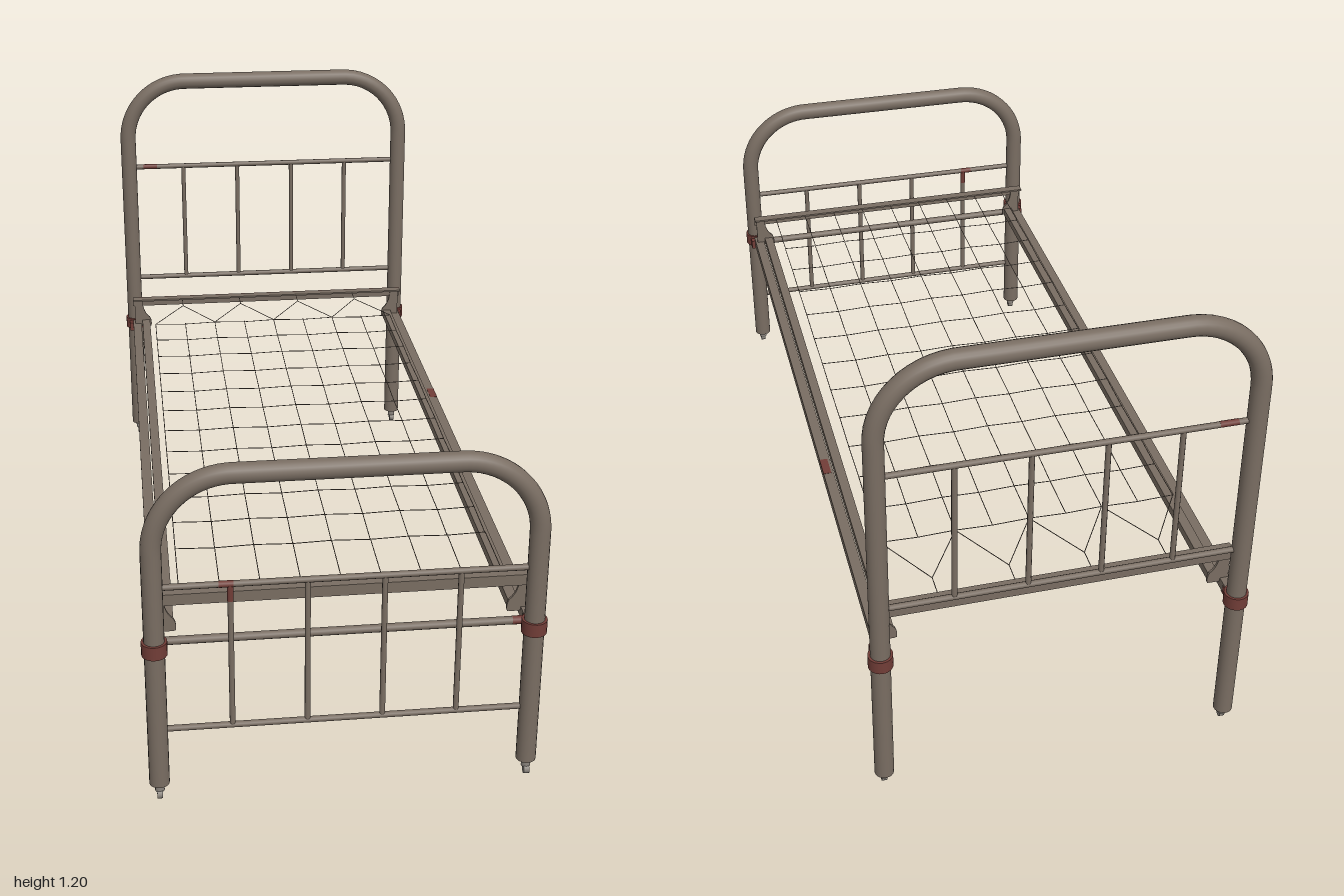
import * as THREE from 'three';

const material = (name, color) => {
  const m = new THREE.MeshStandardMaterial({ color });
  m.name = name;
  return m;
};

export function createModel() {
  const bed = new THREE.Group();
  bed.name = 'ironBed';
  const iron = material('agedIron', 0x796d62);
  const rust = material('rustyRed', 0x713d37);
  const steel = material('casterSteel', 0x8a847d);

  const LEG_X = 0.4235, END_Z = 0.971, TUBE = 0.0232;

  function add(name, geometry, mat, x = 0, y = 0, z = 0, parent = bed) {
    const mesh = new THREE.Mesh(geometry, mat);
    mesh.name = name;
    mesh.position.set(x, y, z);
    parent.add(mesh);
    return mesh;
  }
  const box = (name, w, h, d, mat, x, y, z, parent) =>
    add(name, new THREE.BoxGeometry(w, h, d), mat, x, y, z, parent);

  // Round rod between two points
  function rod(name, a, b, r, mat, sides = 10, parent = bed) {
    const from = new THREE.Vector3(...a), to = new THREE.Vector3(...b);
    const dir = to.clone().sub(from);
    const mesh = add(name, new THREE.CylinderGeometry(r, r, dir.length(), sides), mat, 0, 0, 0, parent);
    mesh.position.copy(from).add(to).multiplyScalar(0.5);
    mesh.quaternion.setFromUnitVectors(new THREE.Vector3(0, 1, 0), dir.normalize());
    return mesh;
  }

  // Arched tube: leg, round corner, top, round corner, leg
  function archPath(top, corner) {
    const V = (x, y) => new THREE.Vector3(x, y, 0);
    const k = corner * 0.4477, X = LEG_X, path = new THREE.CurvePath();
    path.add(new THREE.LineCurve3(V(-X, 0.038), V(-X, top - corner)));
    path.add(new THREE.CubicBezierCurve3(V(-X, top - corner), V(-X, top - k), V(-X + k, top), V(-X + corner, top)));
    path.add(new THREE.LineCurve3(V(-X + corner, top), V(X - corner, top)));
    path.add(new THREE.CubicBezierCurve3(V(X - corner, top), V(X - k, top), V(X, top - k), V(X, top - corner)));
    path.add(new THREE.LineCurve3(V(X, top - corner), V(X, 0.038)));
    return path;
  }

  // Curved gusset beneath each end of the mesh bar
  const gusset = new THREE.Shape();
  gusset.moveTo(0.055, 0);
  gusset.lineTo(0.055, 0.085);
  gusset.lineTo(0.03, 0.085);
  gusset.quadraticCurveTo(0.028, 0.045, 0.008, 0.03);
  gusset.quadraticCurveTo(0, 0.015, 0.004, 0);
  gusset.closePath();

  function endFrame(name, side, top, railLow, railHigh) {
    const g = new THREE.Group();
    g.name = name;
    g.position.z = side * END_Z;
    bed.add(g);
    add('archTube', new THREE.TubeGeometry(archPath(top, 0.178), 140, TUBE, 20), iron, 0, 0, 0, g);

    // Rails and spindles
    for (const y of [railLow, railHigh])
      rod('crossRail', [-LEG_X, y, 0], [LEG_X, y, 0], 0.0074, iron, 10, g);
    for (const x of [-0.255, -0.086, 0.084, 0.253])
      rod('spindle', [x, railLow, 0], [x, railHigh, 0], 0.0066, iron, 10, g);

    for (const s of [-1, 1]) {
      // Leg ends and casters
      const x = s * LEG_X;
      add('legEnd', new THREE.CylinderGeometry(TUBE, TUBE, 0.004, 20), iron, x, 0.039, 0, g);
      add('casterStem', new THREE.CylinderGeometry(0.011, 0.011, 0.02, 12), steel, x, 0.028, 0.003, g);
      const wheel = add('casterWheel', new THREE.CylinderGeometry(0.011, 0.011, 0.013, 14), steel, x, 0.011, 0.008, g);
      wheel.rotation.z = Math.PI / 2;
      // Corner collars with the lug that holds the side rail
      add('collar', new THREE.CylinderGeometry(0.029, 0.029, 0.033, 20), rust, x, 0.395, 0, g);
      box('collarLug', 0.036, 0.026, 0.032, rust, x, 0.392, -side * 0.029, g);
    }
  }
  endFrame('headFrame', -1, 1.178, 0.545, 0.91);
  endFrame('footFrame', 1, 0.812, 0.181, 0.545);
  rod('footBar', [-LEG_X, 0.392, 0.942], [LEG_X, 0.392, 0.942], 0.0098, iron);

  // Side rails: outer rail between collars, shorter raised inner rail
  for (const s of [-1, 1]) {
    box('sideRail', 0.026, 0.024, 1.87, iron, s * 0.418, 0.395, 0);
    box('sideRailTop', 0.026, 0.004, 1.92, iron, s * 0.418, 0.407, 0);
    box('innerRail', 0.024, 0.022, 1.83, iron, s * 0.39, 0.41, 0);
  }

  // Raised angle-iron bars that stretch the mesh
  const gussetGeometry = new THREE.ExtrudeGeometry(gusset, { depth: 0.006, bevelEnabled: false, curveSegments: 6 });
  for (const e of [-1, 1]) {
    box('meshBarFace', 0.86, 0.027, 0.005, iron, 0, 0.481, e * 0.917);
    box('meshBarFlange', 0.86, 0.005, 0.026, iron, 0, 0.492, e * 0.906);
    for (const s of [-1, 1]) {
      const bracket = add('meshBarBracket', gussetGeometry, iron, s * 0.37, 0.4, e * 0.912);
      if (s < 0) bracket.rotation.y = Math.PI;
      bracket.position.z -= s * 0.003;
    }
  }

  // Wire mesh with slight sag in each strand
  const mesh = new THREE.Group();
  mesh.name = 'wireMesh';
  bed.add(mesh);
  const R = 0.0011, Y = 0.491;
  const columns = Array.from({ length: 9 }, (_, i) => -0.364 + i * 0.091);
  const rows = Array.from({ length: 12 }, (_, i) => -0.69 + i * 0.1273);
  const strand = (name, a, b) => rod(name, a, b, R, iron, 5, mesh);
  for (const z of rows)
    for (let i = 0; i < 8; i++)
      strand('crossWire', [columns[i], Y - 0.003 * (i % 2), z], [columns[i + 1], Y - 0.003 * ((i + 1) % 2), z]);
  for (const x of columns) {
    for (let i = 0; i < 11; i++)
      strand('longWire', [x, Y - 0.003 * (i % 2), rows[i]], [x, Y - 0.003 * ((i + 1) % 2), rows[i + 1]]);
    strand('footSpring', [x, Y, rows[11]], [x, Y, 0.9]);
  }
  // Zigzag springs at the head
  for (let i = 0; i < 4; i++) {
    const mid = columns[2 * i + 1];
    strand('headSpring', [columns[2 * i], Y, rows[0]], [mid, Y, -0.84]);
    strand('headSpring', [columns[2 * i + 2], Y, rows[0]], [mid, Y, -0.84]);
    strand('headHook', [mid, Y, -0.84], [mid, Y, -0.9]);
  }

  // Rust patches on the rails, a spindle and the foot bar
  box('railRust', 0.02, 0.004, 0.06, rust, 0.4215, 0.4078, -0.27);
  rod('headRailRust', [-0.38, 0.9105, -END_Z], [-0.337, 0.9105, -END_Z], 0.0076, rust);
  rod('footRailRust', [-0.28, 0.545, END_Z], [-0.248, 0.545, END_Z], 0.0079, rust);
  rod('spindleRust', [-0.255, 0.503, END_Z], [-0.255, 0.545, END_Z], 0.0072, rust);
  rod('footBarRust', [0.38, 0.392, 0.942], [0.42, 0.392, 0.942], 0.0103, rust);
  box('meshBarRust', 0.86, 0.004, 0.0015, rust, 0, 0.4925, -0.9202);

  return bed;
}
